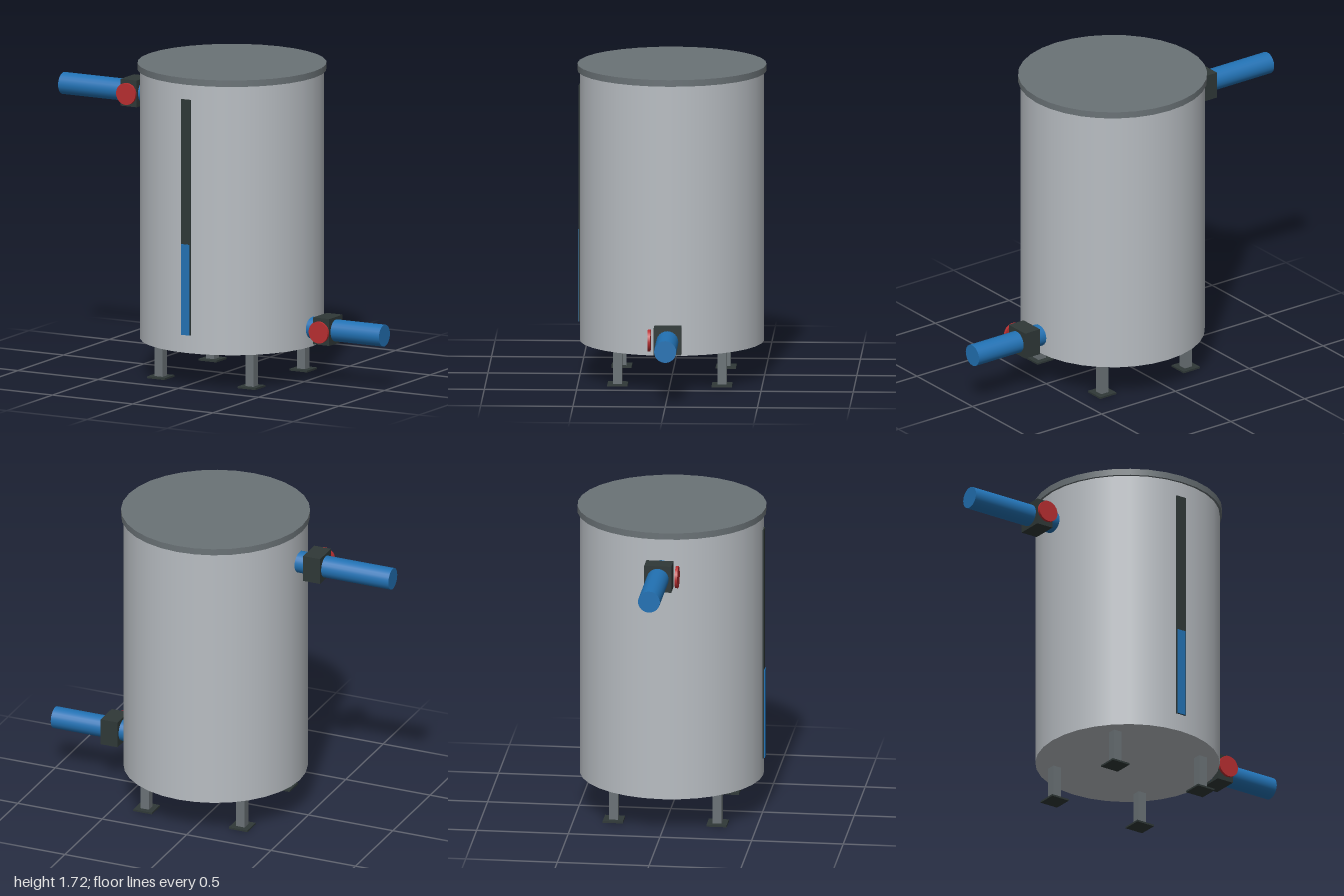
import * as THREE from 'three';

const material = (name, color) => {
  const m = new THREE.MeshStandardMaterial({ color });
  m.name = name;
  return m;
};

export function createModel() {
  const steel = material('brushed steel', 0xb8bdc2);
  const grey = material('dark grey metal', 0x6a7276);
  const iron = material('cast iron', 0x2f3837);
  const blue = material('water blue', 0x2272b4);
  const red = material('valve red', 0xb82e30);

  const model = new THREE.Group();
  model.name = 'storageTank';
  const cx = 0.05; // tank axis

  const add = (name, geometry, mat, x, y, z, parent = model) => {
    const mesh = new THREE.Mesh(geometry, mat);
    mesh.name = name;
    mesh.position.set(x, y, z);
    parent.add(mesh);
    return mesh;
  };
  const box = (w, h, d) => new THREE.BoxGeometry(w, h, d);
  const drum = (r, h, sides) => new THREE.CylinderGeometry(r, r, h, sides);

  // Vessel and lid
  add('tankBody', drum(0.5, 1.49, 32), steel, cx, 0.945, 0);
  add('lid', drum(0.513, 0.036, 32), grey, cx, 1.702, 0);

  // Level gauge on the front, with its filled portion
  add('levelGauge', box(0.06, 1.3, 0.02), iron, 0.048, 0.95, 0.495);
  add('gaugeLevel', box(0.05, 0.5, 0.009), blue, 0.048, 0.55, 0.5055);

  // Four legs with foot plates
  for (const sx of [-1, 1]) {
    for (const sz of [-1, 1]) {
      const leg = new THREE.Group();
      leg.name = 'leg';
      leg.position.set(cx + sx * 0.283, 0, sz * 0.283);
      add('legPost', box(0.05, 0.2, 0.05), grey, 0, 0.105, 0, leg);
      add('footPlate', box(0.11, 0.01, 0.11), iron, 0, 0.005, 0, leg);
      model.add(leg);
    }
  }

  // Inlet and outlet: pipe along x, valve block and round handle
  const pipeRun = (name, side, y, inner, valveX) => {
    const run = new THREE.Group();
    run.name = name;
    run.position.y = y;
    const length = 1 - inner;
    const pipe = drum(0.06, length, 24).rotateZ(Math.PI / 2);
    add('pipe', pipe, blue, side * (inner + length / 2), 0, 0, run);
    add('valveBlock', box(0.1, 0.148, 0.148), iron, side * valveX, 0, 0, run);
    const handle = drum(0.06, 0.015, 24).rotateX(Math.PI / 2);
    add('valveHandle', handle, red, side * valveX, 0, 0.1, run);
    model.add(run);
  };
  pipeRun('inlet', -1, 1.503, 0.4, 0.552);
  pipeRun('outlet', 1, 0.303, 0.5, 0.648);

  return model;
}
